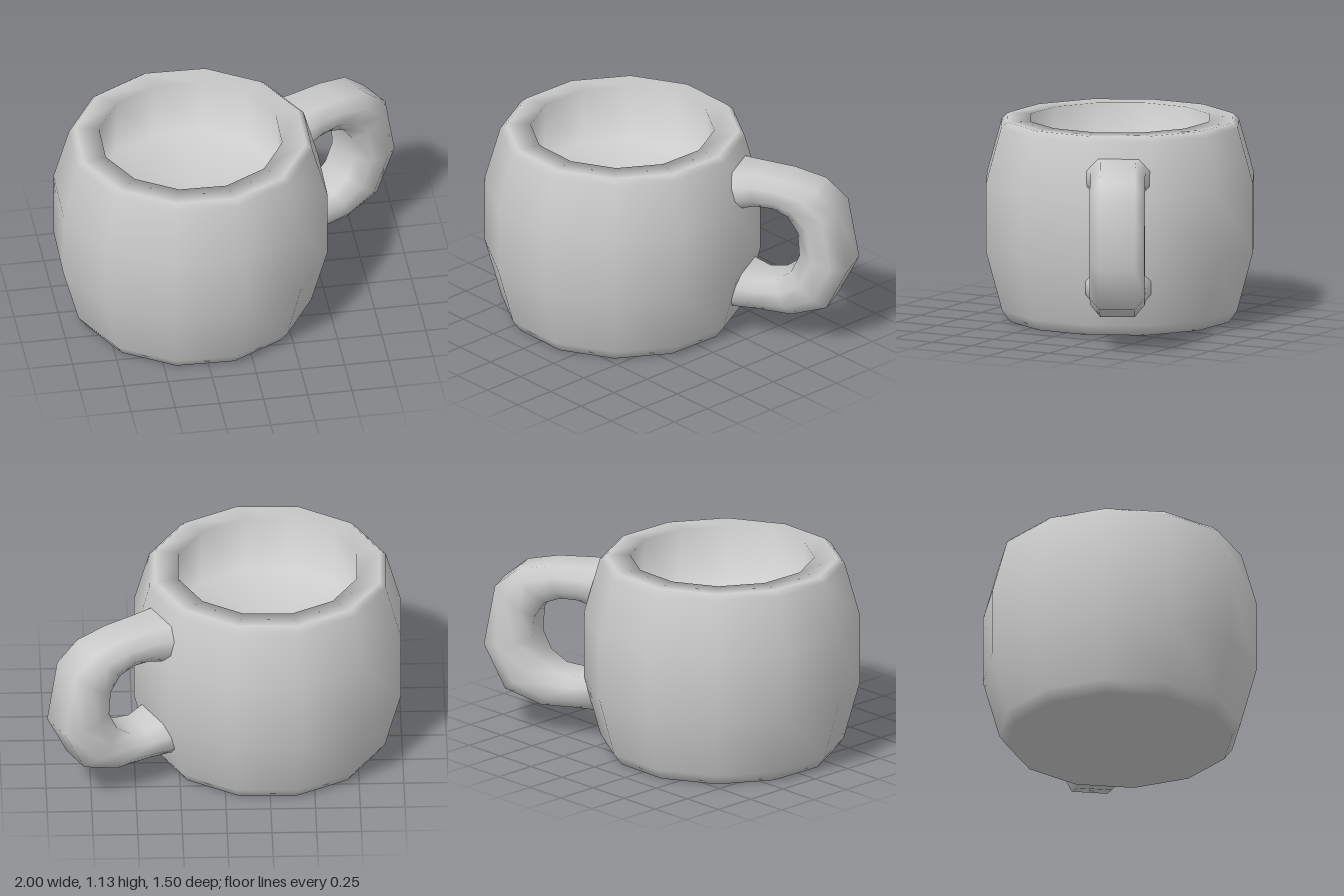
import * as THREE from 'three';

const material = new THREE.MeshStandardMaterial({ color: 0xcccccc });

// Twelve-sided cup: closed profile from the base centre, over the rim, to the inner floor
function createCup() {
  const profile = [
    [0, 0], [0.633, 0], [0.68, 0.065], [0.772, 0.4], [0.772, 0.79],
    [0.685, 1.1], [0.65, 1.13], [0.515, 1.13], [0.53, 0.79], [0, 0.79],
  ].map(([r, y]) => new THREE.Vector2(r, y));
  const start = THREE.MathUtils.degToRad(13.6); // turns a flat side toward the handle
  const cup = new THREE.Mesh(new THREE.LatheGeometry(profile, 12, start), material);
  cup.name = 'cup';
  return cup;
}

// Handle: eight-sided rings lofted along a C, each given by its outer and inner edge
function createHandle() {
  // [outer radius, outer y, inner radius, inner y, width scale]
  const sections = [
    [0.64, 1.01, 0.70, 0.79, 1.2],
    [0.80, 1.01, 0.82, 0.815, 1.0],
    [0.99, 1.0, 0.92, 0.815, 0.97],
    [1.17, 0.96, 1.01, 0.78, 1],
    [1.30, 0.85, 1.07, 0.69, 1],
    [1.365, 0.5, 1.08, 0.55, 1],
    [1.24, 0.25, 1.03, 0.44, 1],
    [1.03, 0.175, 0.94, 0.375, 0.97],
    [0.82, 0.18, 0.84, 0.36, 1.0],
    [0.64, 0.185, 0.70, 0.40, 1.25],
  ];
  // [position from inner (0) to outer (1) edge, sideways offset]
  const ring = [
    [1, -0.1], [1, 0.1], [0.7, 0.155], [0.3, 0.155],
    [0, 0.1], [0, -0.1], [0.3, -0.155], [0.7, -0.155],
  ];
  const positions = [];
  const indices = [];
  const n = ring.length;
  sections.forEach(([ro, yo, ri, yi, width], i) => {
    ring.forEach(([t, side], j) => {
      positions.push(ri + (ro - ri) * t, yi + (yo - yi) * t, side * width);
      if (i === sections.length - 1) return;
      const a = i * n + j;
      const b = i * n + ((j + 1) % n);
      indices.push(a, b, a + n, b, b + n, a + n);
    });
  });
  const geometry = new THREE.BufferGeometry();
  geometry.setAttribute('position', new THREE.Float32BufferAttribute(positions, 3));
  geometry.setIndex(indices);
  geometry.computeVertexNormals();
  const handle = new THREE.Mesh(geometry, material);
  handle.name = 'handle';
  handle.rotation.y = THREE.MathUtils.degToRad(28.6);
  return handle;
}

export function createModel() {
  const model = new THREE.Group();
  model.name = 'mug';
  const parts = [createCup(), createHandle()];
  for (const part of parts) part.position.x = -0.25; // cup axis sits left of centre
  model.add(...parts);
  return model;
}
